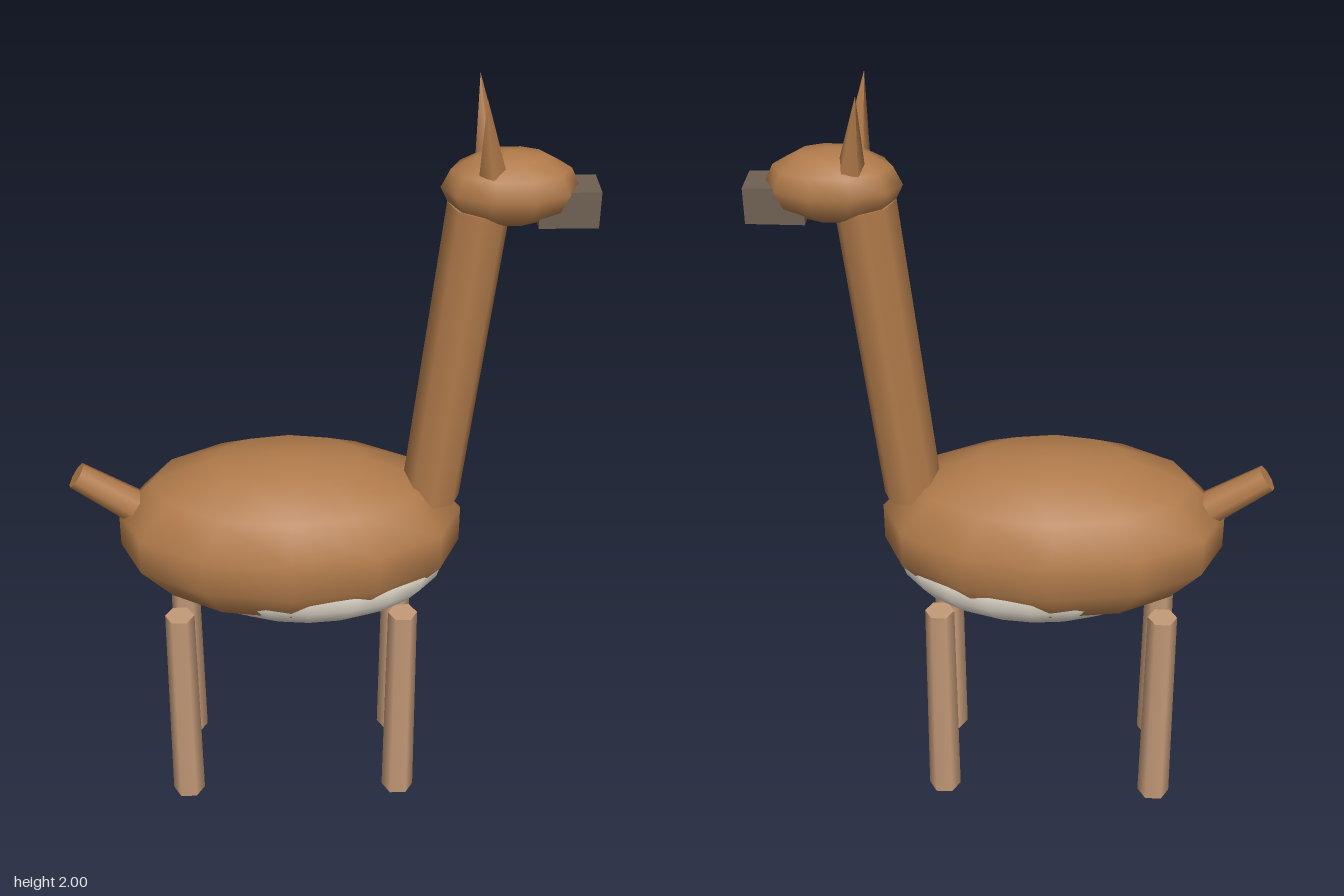
import * as THREE from 'three';

function makeMaterial(name, color) {
  const m = new THREE.MeshStandardMaterial({ color });
  m.name = name;
  return m;
}

export function createModel() {
  const group = new THREE.Group();
  const coat = makeMaterial('brown coat', 0xb07a4a);
  const cream = makeMaterial('cream belly', 0xe8e0d2);
  const tan = makeMaterial('tan legs', 0xc49a78);
  const grey = makeMaterial('grey brown muzzle', 0x6f6052);

  function add(name, geometry, material, x, y, z) {
    const mesh = new THREE.Mesh(geometry, material);
    mesh.name = name;
    mesh.position.set(x, y, z);
    group.add(mesh);
    return mesh;
  }

  function ellipsoid(name, material, center, radii, around, high) {
    const geometry = new THREE.SphereGeometry(1, around, high);
    geometry.scale(...radii);
    return add(name, geometry, material, ...center);
  }

  // Tapered cylinder running between two points
  function limb(name, material, from, to, r0, r1, sides) {
    const a = new THREE.Vector3(...from);
    const b = new THREE.Vector3(...to);
    const dir = b.clone().sub(a);
    const geometry = new THREE.CylinderGeometry(r1, r0, dir.length(), sides);
    if (sides === 6) geometry.rotateY(Math.PI / 2);
    const mid = a.add(b).multiplyScalar(0.5);
    const mesh = add(name, geometry, material, mid.x, mid.y, mid.z);
    mesh.quaternion.setFromUnitVectors(new THREE.Vector3(0, 1, 0), dir.normalize());
    return mesh;
  }

  // Torso and belly patch
  ellipsoid('body', coat, [-0.08, 0.8, 0], [0.453, 0.23, 0.262], 12, 7);
  ellipsoid('belly', cream, [-0.035, 0.722, 0], [0.365, 0.165, 0.23], 20, 12);

  // Neck, head and muzzle
  limb('neck', coat, [0.281, 0.9, 0], [0.367, 1.71, 0], 0.075, 0.075, 8);
  ellipsoid('head', coat, [0.437, 1.755, 0], [0.161, 0.09, 0.1], 10, 6);
  add('muzzle', new THREE.BoxGeometry(0.14, 0.09, 0.1), grey, 0.572, 1.715, 0);

  // Tail
  limb('tail', coat, [-0.465, 0.86, 0], [-0.622, 0.967, 0], 0.046, 0.036, 8);

  // Ears and legs, mirrored across the body
  for (const [side, s] of [['left', -1], ['right', 1]]) {
    limb(side + 'Ear', coat, [0.388, 1.81, s * 0.046], [0.364, 2, s * 0.08], 0.033, 0, 5);
    for (const [end, x] of [['Front', 0.21], ['Back', -0.37]]) {
      limb(side + end + 'Leg', tan, [x, 0, s * 0.13], [x, 0.61, s * 0.13], 0.043, 0.038, 6);
    }
  }
  return group;
}
